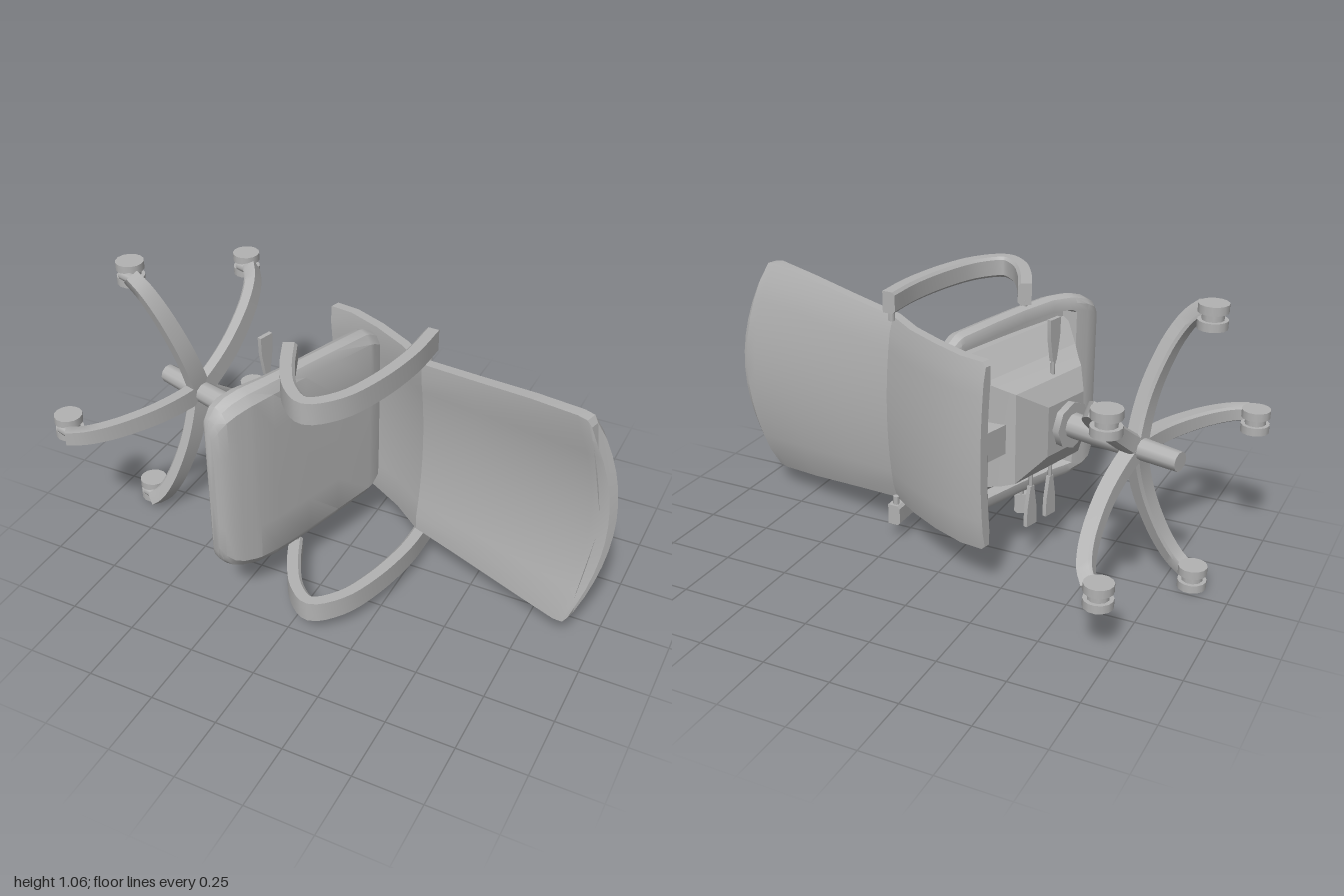
import * as THREE from 'three';
import { toCreasedNormals } from 'three/addons/utils/BufferGeometryUtils.js';

// Chair lies on its side. Local frame: X across, Y up along the column, Z forward.
const C = 0.963, S = 0.27;
const toLocal = (x, z) => [C * x + S * z, -S * x + C * z];

// Skin a list of equal-length rings and cap both ends
function loft(rings, crease = 0.6) {
  const n = rings[0].length, pos = rings.flat(2), idx = [];
  for (let i = 0; i < rings.length - 1; i++) {
    for (let j = 0; j < n; j++) {
      const a = i * n + j, b = i * n + (j + 1) % n;
      idx.push(a, b, a + n, b, b + n, a + n);
    }
  }
  [0, rings.length - 1].forEach((r, end) => {
    const centre = [0, 1, 2].map(k => rings[r].reduce((s, p) => s + p[k], 0) / n);
    const c = pos.length / 3;
    pos.push(...centre);
    for (let j = 0; j < n; j++) {
      const a = r * n + j, b = r * n + (j + 1) % n;
      idx.push(...(end ? [a, b, c] : [b, a, c]));
    }
  });
  // turn the faces outward if the rings run the other way
  const v = i => new THREE.Vector3().fromArray(pos, idx[i] * 3);
  let volume = 0;
  for (let i = 0; i < idx.length; i += 3) volume += v(i).dot(v(i + 1).cross(v(i + 2)));
  if (volume < 0) idx.reverse();
  const g = new THREE.BufferGeometry();
  g.setAttribute('position', new THREE.Float32BufferAttribute(pos, 3));
  g.setIndex(idx);
  return toCreasedNormals(g, crease);
}

// Rectangular bar along a smooth path of [y, z] points; widths taper from start to end
function sweep(path, half, wide0, wide1, steps = 18) {
  const curve = new THREE.CatmullRomCurve3(path.map(([y, z]) => new THREE.Vector3(0, y, z)));
  const rings = [];
  for (let i = 0; i <= steps; i++) {
    const p = curve.getPoint(i / steps), t = curve.getTangent(i / steps);
    const w = THREE.MathUtils.lerp(wide0, wide1, i / steps);
    const ny = -t.z * half, nz = t.y * half;
    rings.push([[1, 0.6], [0.75, 1], [-0.75, 1], [-1, 0.6], [-1, -1], [1, -1]]
      .map(([a, b]) => [a * w, p.y + ny * b, p.z + nz * b]));
  }
  return loft(rings);
}

export function createModel() {
  const model = new THREE.Group();
  const chair = new THREE.Group();
  chair.name = 'officeChair';
  model.add(chair);
  const grey = new THREE.MeshStandardMaterial({ color: 0xb2b2b2 });
  grey.name = 'plain grey';

  function add(name, geometry, x = 0, y = 0, z = 0, parent = chair) {
    const m = new THREE.Mesh(geometry, grey);
    m.name = name;
    m.position.set(x, y, z);
    parent.add(m);
    return m;
  }

  // Seat cushion: front to back rows of [z, half width, top, bottom, recess below]
  const seatRows = [
    [-0.19, 0.29, -0.04, -0.075, 0], [-0.18, 0.33, -0.016, -0.09, 0],
    [-0.14, 0.355, -0.008, -0.095, 0], [-0.12, 0.362, -0.008, -0.095, 0.45],
    [0.05, 0.37, -0.014, -0.095, 0.45], [0.2, 0.375, -0.02, -0.097, 0.45],
    [0.35, 0.378, -0.025, -0.108, 0.45], [0.43, 0.373, -0.032, -0.13, 0.45],
    [0.45, 0.37, -0.036, -0.136, 0], [0.5, 0.355, -0.047, -0.15, 0],
    [0.535, 0.335, -0.058, -0.152, 0], [0.562, 0.3, -0.074, -0.145, 0],
    [0.577, 0.255, -0.092, -0.125, 0]];
  add('seat', loft(seatRows.map(([z, w, top, bottom, r]) => {
    const half = [[0, 1], [0.5, 1], [0.88, 0.98], [0.97, 0.75], [1, 0.4],
      [0.97, 0.1], [0.92, 0], [0.85, 0], [0.82, r], [0, r]];
    const other = half.slice(1, -1).reverse().map(([a, b]) => [-a, b]);
    return [...half, ...other].map(([a, b]) => [a * w, bottom + (top - bottom) * b, z]);
  }), 0.5), 0.002);

  // Backrest: rows of [x, z, half width, forward curve of sides, droop of sides, thickness]
  const backRows = [
    [-0.205, -0.33, 0.335, 0.02, 0, 0.035], [-0.19, -0.328, 0.35, 0.02, 0, 0.055],
    [-0.1, -0.312, 0.353, 0.02, 0, 0.055], [0.03, -0.256, 0.357, 0.022, 0, 0.055],
    [0.16, -0.187, 0.358, 0.026, 0, 0.055], [0.28, -0.107, 0.362, 0.035, 0, 0.056],
    [0.5, -0.063, 0.387, 0.045, 0.01, 0.06], [0.75, -0.015, 0.416, 0.06, 0.035, 0.064],
    [0.95, 0.023, 0.433, 0.075, 0.06, 0.067], [0.99, 0.03, 0.428, 0.077, 0.065, 0.066],
    [1.008, 0.04, 0.405, 0.077, 0.07, 0.052]];
  add('backrest', loft(backRows.map(([x, z, w, bow, sag, thick]) => {
    const [y, f] = toLocal(x, z);
    const ring = [];
    for (let k = -6; k <= 6; k++) ring.push([k / 6, Math.abs(k) === 6 ? 0.8 : 1]);
    for (let k = 6; k >= -6; k--) ring.push([k / 6, Math.abs(k) === 6 ? 0.15 : 0]);
    return ring.map(([a, b]) => [a * w, y - sag * a * a, f + bow * a * a + thick * b]);
  }), 0.35), 0.01);

  // Looped armrests with the pegs that hold them
  const armPath = [[0.262, -0.105], [0.257, 0.06], [0.217, 0.26], [0.158, 0.4], [0.075, 0.472],
    [0.0, 0.425], [-0.07, 0.32], [-0.13, 0.19]].map(p => toLocal(...p));
  for (const side of [-1, 1]) {
    add('armrest', sweep(armPath, 0.025, 0.04, 0.04, 28), side * 0.422 + 0.007);
    for (const [x, z] of [[0.262, -0.085], [-0.125, 0.2]]) {
      const [y, f] = toLocal(x, z);
      add('armPeg', new THREE.CylinderGeometry(0.012, 0.012, 0.05, 8)
        .rotateZ(Math.PI / 2), side * 0.375 + 0.007, y, f);
    }
  }

  // Seat pan and tilt mechanism, narrowing downwards: [y, back, front, half width]
  const panRows = [[-0.06, -0.14, 0.46, 0.28], [-0.09, -0.14, 0.45, 0.28],
    [-0.17, -0.11, 0.4, 0.2], [-0.23, -0.09, 0.34, 0.185],
    [-0.275, -0.065, 0.3, 0.17], [-0.32, 0.06, 0.26, 0.095]];
  add('tiltMechanism', loft(panRows.map(([y, b, f, w]) =>
    [[-w, y, b], [w, y, b], [w, y, f], [-w, y, f]]), 0.2));
  add('collar', new THREE.CylinderGeometry(0.085, 0.088, 0.06, 8), 0, -0.318, 0.17);

  // Strut from the mechanism to the backrest
  add('backStrut', new THREE.BoxGeometry(0.11, 0.09, 0.2), 0, -0.2, -0.14);

  // Adjusting levers: a thin rod ending in a flat paddle
  for (const [side, z] of [[-1, 0.16], [1, 0.16], [1, 0.05]]) {
    const lever = new THREE.Group();
    lever.name = 'lever';
    lever.position.set(side * 0.165, -0.255, z);
    chair.add(lever);
    add('leverRod', new THREE.CylinderGeometry(0.008, 0.008, 0.12, 6)
      .rotateZ(Math.PI / 2), side * 0.06, 0, 0, lever);
    add('leverPaddle', loft([[0.06, 0.01], [0.15, 0.026], [0.218, 0.028]].map(([x, w]) =>
      [[side * x, -0.008, -w], [side * x, 0.008, -w], [side * x, 0.008, w], [side * x, -0.008, w]])),
    0, 0, 0, lever);
  }

  // Gas column and hub
  add('column', new THREE.CylinderGeometry(0.048, 0.042, 0.26, 10), 0, -0.45, 0.17);
  add('hub', new THREE.CylinderGeometry(0.042, 0.036, 0.22, 10), 0, -0.685, 0.17);

  // Five arched legs, each with a twin-wheel caster trailing the same way
  const legPath = [[-0.62, 0], [-0.615, 0.1], [-0.62, 0.2], [-0.638, 0.3],
    [-0.668, 0.4], [-0.71, 0.48], [-0.755, 0.525]];
  const legGeometry = sweep(legPath, 0.026, 0.038, 0.026);
  const wheel = new THREE.CylinderGeometry(0.052, 0.052, 0.03, 14).rotateZ(Math.PI / 2);
  const axle = new THREE.CylinderGeometry(0.038, 0.038, 0.06, 10).rotateZ(Math.PI / 2);
  const stem = new THREE.CylinderGeometry(0.02, 0.02, 0.08, 8);
  for (let i = 0; i < 5; i++) {
    const a = i * Math.PI * 2 / 5, sx = Math.sin(a), cz = Math.cos(a);
    add('leg', legGeometry, 0, 0, 0.17).rotation.y = a;
    const caster = new THREE.Group();
    caster.name = 'caster';
    caster.position.set(0.514 * sx, -0.805, 0.132 + 0.51 * cz);
    chair.add(caster);
    for (const side of [-1, 1]) add('wheel', wheel, side * 0.028, 0, 0, caster);
    add('axle', axle, 0, 0, 0, caster);
    add('stem', stem, 0, 0.035, 0.035, caster);
  }

  // Tip the chair over onto its side
  chair.matrixAutoUpdate = false;
  chair.matrix.makeBasis(new THREE.Vector3(0, -1, 0), new THREE.Vector3(C, 0, S),
    new THREE.Vector3(-S, 0, C)).setPosition(0, 0.531, 0);
  return model;
}
